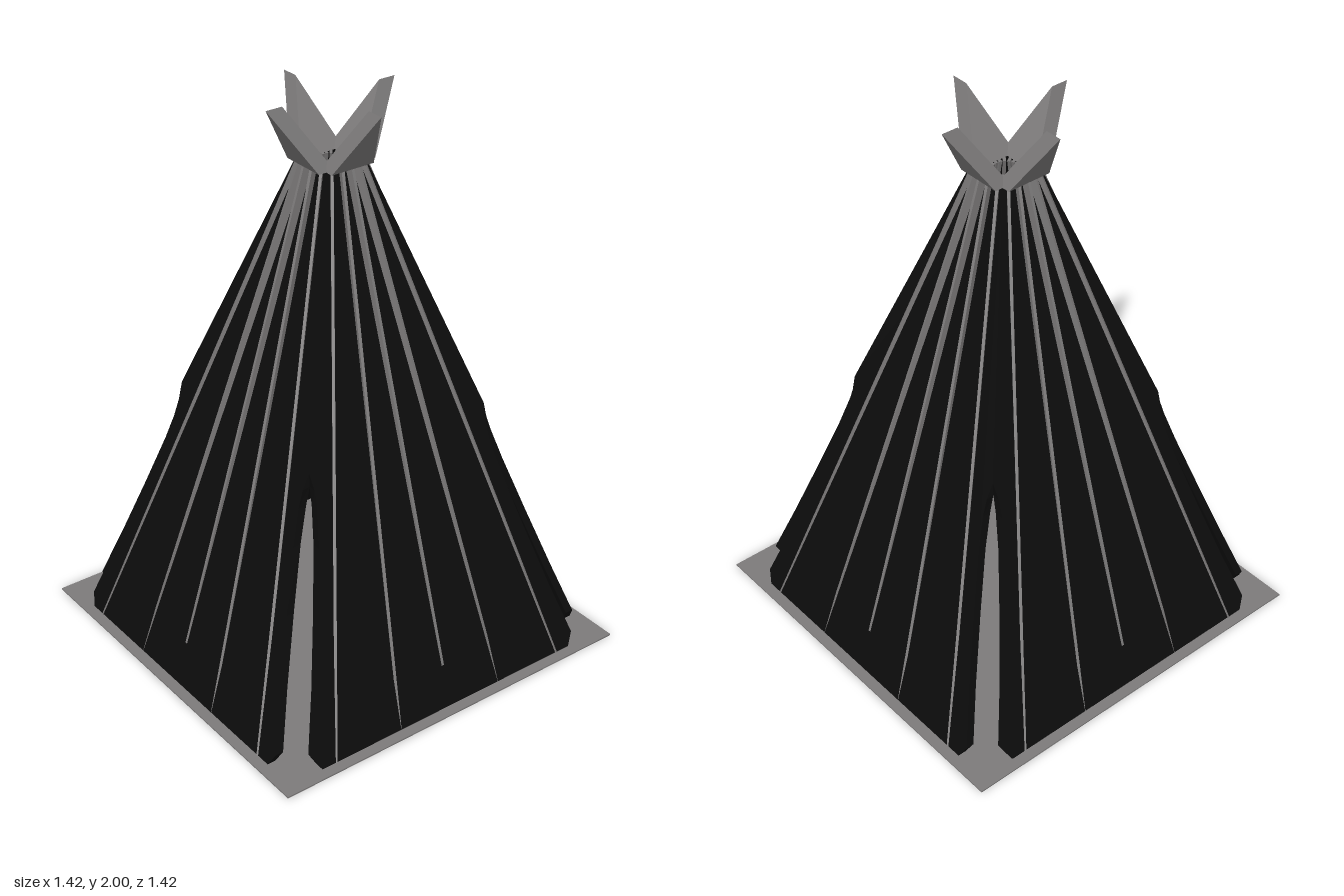
import * as THREE from 'three';

const TOP = 1.78, BASE_HALF = 0.67, TOP_HALF = 0.08, WALL = 0.03;

// half width of the pyramid at height y
const half = (y) => BASE_HALF + (TOP_HALF - BASE_HALF) * y / TOP;

function outline(points) {
  return new THREE.Shape(points.map(([x, y]) => new THREE.Vector2(x, y)));
}

// extrude an outline one unit deep, then move each vertex by a rule
function warped(points, rule) {
  const geo = new THREE.ExtrudeGeometry(outline(points), { depth: 1, bevelEnabled: false });
  const p = geo.attributes.position;
  for (let i = 0; i < p.count; i++) {
    p.setXYZ(i, ...rule(p.getX(i), p.getY(i), p.getZ(i)));
  }
  geo.computeVertexNormals();
  return geo;
}

export function createModel() {
  const canvas = new THREE.MeshStandardMaterial({ color: 0x0c0c0c });
  canvas.name = 'black canvas';
  const timber = new THREE.MeshStandardMaterial({ color: 0x7c7a7a });
  timber.name = 'grey timber';

  const model = new THREE.Group();
  model.name = 'pyramidTent';
  const add = (name, geo, mat, turn = 0) => {
    const mesh = new THREE.Mesh(geo, mat);
    mesh.name = name;
    mesh.rotation.y = turn;
    model.add(mesh);
  };

  // thin square floor
  const floor = new THREE.BoxGeometry(1.416, 0.005, 1.416);
  floor.translate(0, 0.0025, 0);
  add('floor', floor, timber);

  // sloping wall panels, cut away at the corners for the openings
  const edge = [[0.54, 0.004], [0.565, 0.05], [0.505, 0.24], [0.44, 0.47], [0.385, 0.68],
    [0.362, 0.8], [0.358, 0.86], [half(0.92), 0.92], [TOP_HALF, TOP]];
  const panel = [...edge, ...edge.map(([x, y]) => [-x, y]).reverse()];
  const wallGeo = warped(panel, (x, y, z) => {
    const h = half(y) - (z > 0.5 ? 0 : WALL);
    return [THREE.MathUtils.clamp(x, -h, h), y, h];
  });

  // flared triangular flaps around the top
  const flapGeo = warped([[-0.083, TOP], [0.083, TOP], [0, 2]],
    (x, y, z) => [x, y, 0.05 + 0.062 * z + 0.14 * (y - TOP) / (2 - TOP)]);

  for (let i = 0; i < 4; i++) {
    add('wallPanel', wallGeo, canvas, i * Math.PI / 2);
    add('topFlap', flapGeo, timber, i * Math.PI / 2);
  }

  // radial ribs that rise out of the walls towards the top
  const crossing = [0.2, 0.15, 0.1];
  for (let i = 0; i < 20; i++) {
    const step = Math.min(i % 5, 5 - (i % 5));
    const c = Math.cos(step * Math.PI / 10);
    const topR = 0.113;
    const gap = topR * c - TOP_HALF;
    const yc = crossing[step];
    const baseR = (BASE_HALF - gap * yc / (TOP - yc)) / c;
    const rib = new THREE.ExtrudeGeometry(
      outline([[baseR - 0.135, 0.004], [baseR, 0.004], [topR, TOP], [0.04, TOP]]),
      { depth: 0.01, bevelEnabled: false });
    rib.translate(0, 0, -0.005);
    add('rib', rib, timber, i * Math.PI / 10);
  }
  return model;
}
